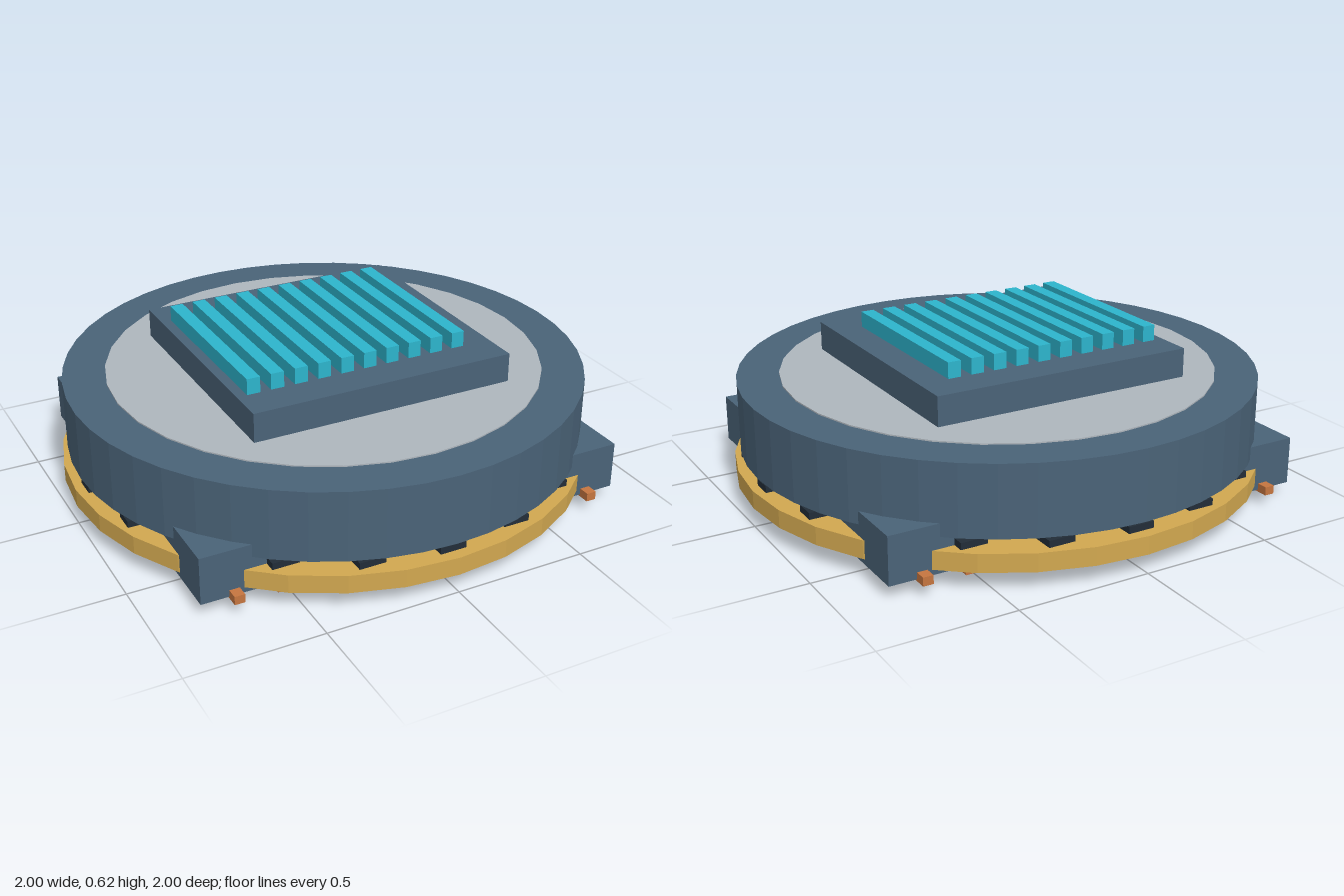
import * as THREE from 'three';

export function createModel() {
  const model = new THREE.Group();
  model.name = 'model';

  const material = (name, color) => {
    const m = new THREE.MeshStandardMaterial({ color });
    m.name = name;
    return m;
  };
  const blue = material('slate blue', 0x4a6378);
  const grey = material('light grey', 0xafb7be);
  const cyan = material('cyan', 0x2db5cd);
  const gold = material('gold', 0xd2a850);
  const copper = material('copper', 0xc67640);
  const dark = material('dark charcoal', 0x222d38);

  const add = (name, geometry, mat, x = 0, y = 0, z = 0) => {
    const mesh = new THREE.Mesh(geometry, mat);
    mesh.name = name;
    mesh.position.set(x, y, z);
    model.add(mesh);
    return mesh;
  };

  // Box given by width, depth and its bottom and top heights
  const box = (name, mat, w, d, y0, y1, x = 0, z = 0) =>
    add(name, new THREE.BoxGeometry(w, y1 - y0, d), mat, x, (y0 + y1) / 2, z);

  // Solid disc with faceted sides
  const disc = (name, mat, r, y0, y1, sides) => {
    const g = new THREE.CylinderGeometry(r, r, y1 - y0, sides).toNonIndexed();
    g.computeVertexNormals();
    return add(name, g, mat, 0, (y0 + y1) / 2, 0);
  };

  // Flat ring with a rectangular section and faceted sides
  const ring = (name, mat, inner, outer, y0, y1, sides) => {
    const section = [[inner, y0], [outer, y0], [outer, y1], [inner, y1], [inner, y0]];
    const g = new THREE.LatheGeometry(section.map(([r, y]) => new THREE.Vector2(r, y)), sides).toNonIndexed();
    g.computeVertexNormals();
    return add(name, g, mat);
  };

  // Main drum with its inset top plate
  disc('housing', blue, 0.978, 0.18, 0.443, 48);
  disc('topPlate', grey, 0.82, 0.44, 0.448, 32);

  // Raised block carrying the cooling fins
  box('finBase', blue, 1.02, 0.97, 0.445, 0.558);
  for (let i = 0; i < 10; i++) {
    box('coolingFin', cyan, 0.05, 0.7, 0.555, 0.618, -0.447 + i * 0.091);
  }

  // Lower ring with square teeth set through it
  ring('lowerRing', gold, 0.84, 1, 0.07, 0.138, 32);
  for (let i = 0; i < 20; i++) {
    const a = (i / 20) * Math.PI * 2;
    box('ringTooth', dark, 0.1, 0.08, 0.064, 0.163, 0.915 * Math.sin(a), 0.915 * Math.cos(a));
  }

  // Coil under the drum
  ring('coil', copper, 0.62, 0.78, 0.147, 0.181, 32);

  // Side rails and their contact pads
  for (const side of [-1, 1]) {
    box('sideRail', blue, 0.317, 1.474, 0.05, 0.228, side * 0.669);
    for (let i = 0; i < 6; i++) {
      box('contactPad', gold, 0.112, 0.066, 0, 0.045, side * 0.535, -0.54 + i * 0.216);
    }
  }

  // Parallel conductor rods across the underside
  for (let i = 0; i < 10; i++) {
    box('conductorRod', copper, 0.038, 1.56, 0.043, 0.075, -0.706 + i * 0.157);
  }

  return model;
}
